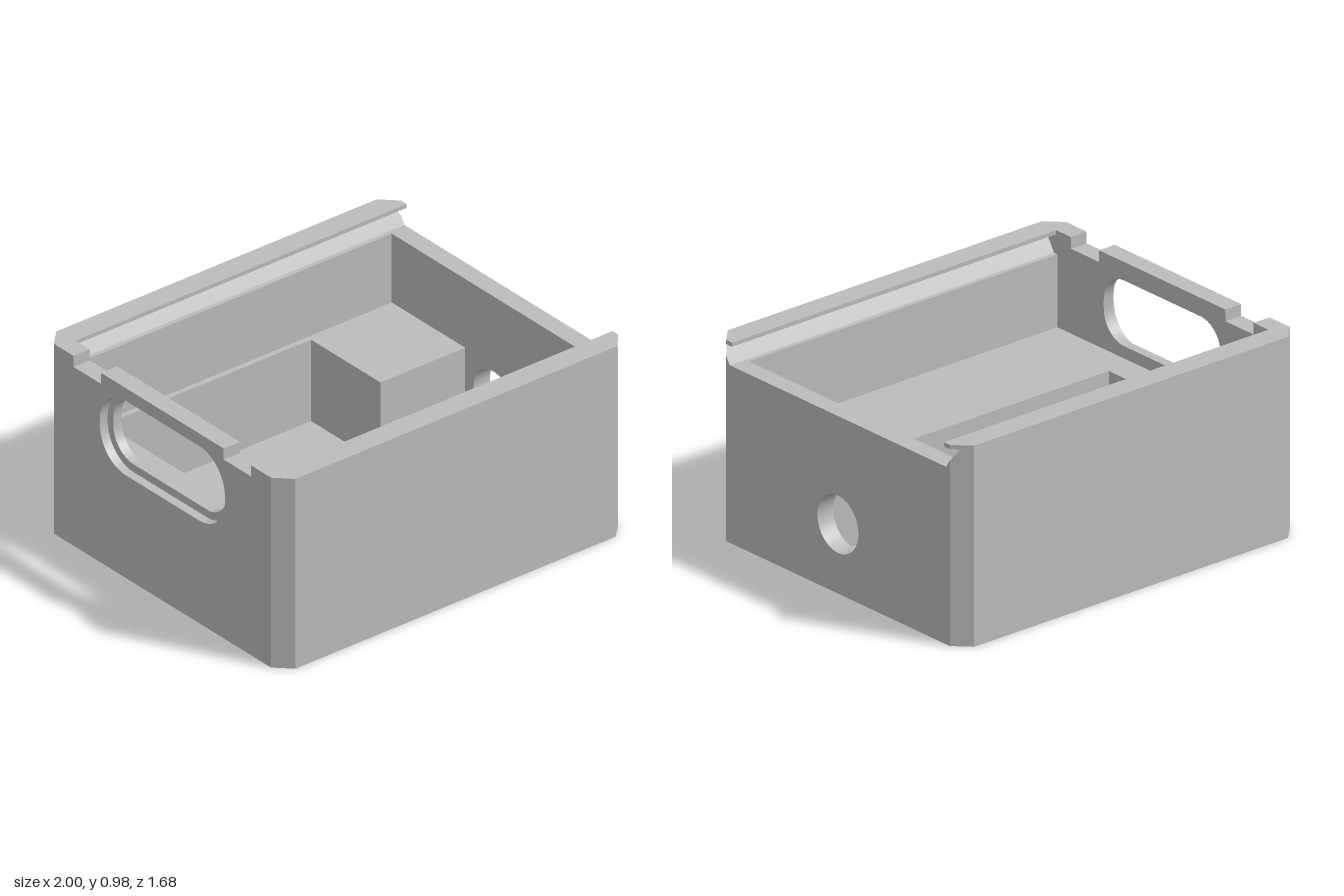
import * as THREE from 'three';
import { toCreasedNormals } from 'three/addons/utils/BufferGeometryUtils.js';

const W = 0.842, C = 0.765, H = 0.98;      // half depth, start of corner chamfer, height
const INX = 0.907, INZ = 0.717;            // inner faces of the walls
const LOW = 0.865, LEDGE = 0.51, FLOOR = 0.09;

const poly = (pts) => new THREE.Shape(pts.map(([a, b]) => new THREE.Vector2(a, b)));

// Rounded slot outline for the window
function slot(halfW, y0, y1, r) {
  const p = new THREE.Path();
  p.moveTo(-halfW + r, y0);
  p.lineTo(halfW - r, y0);
  p.absarc(halfW - r, y0 + r, r, -Math.PI / 2, 0, false);
  p.absarc(halfW - r, y1 - r, r, 0, Math.PI / 2, false);
  p.absarc(-halfW + r, y1 - r, r, Math.PI / 2, Math.PI, false);
  p.absarc(-halfW + r, y0 + r, r, Math.PI, Math.PI * 1.5, false);
  return p;
}

// Extrude a (z, y) cross-section from x0 to x1, cutting the ends to the corner chamfer
function alongX(shape, x0, x1) {
  const g = new THREE.ExtrudeGeometry(shape, { depth: x1 - x0, bevelEnabled: false, curveSegments: 20 });
  g.rotateY(Math.PI / 2).translate(x0, 0, 0);
  const p = g.attributes.position;
  for (let i = 0; i < p.count; i++) {
    const limit = 1 - Math.max(0, Math.abs(p.getZ(i)) - C);
    p.setX(i, THREE.MathUtils.clamp(p.getX(i), -limit, limit));
  }
  g.computeVertexNormals();
  return toCreasedNormals(g, 0.5);
}

export function createModel() {
  const model = new THREE.Group();
  model.name = 'slidingLidBox';
  const grey = new THREE.MeshStandardMaterial({ color: 0xbcbcbc });
  grey.name = 'grey';
  const add = (name, geo, parent = model) => {
    const m = new THREE.Mesh(geo, grey);
    m.name = name;
    parent.add(m);
  };

  // Front and back walls with the dovetail lid groove
  for (const s of [-1, 1]) {
    const wall = new THREE.Group();
    wall.name = s > 0 ? 'frontWall' : 'backWall';
    model.add(wall);
    const side = (pts) => poly(pts.map(([z, y]) => [-s * z, y]));
    add('innerLayer', alongX(side([[INZ, 0], [C, 0], [C, 0.905], [0.74, LOW], [INZ, LOW]]), -INX, 1), wall);
    add('grooveLip', alongX(side([[0.725, 0.96], [C, 0.96], [C, H], [0.725, H]]), -INX, 1), wall);
    add('outerLayer', alongX(side([[C, 0], [W, 0], [W, H], [C, H], [C, 0.96], [0.8, 0.96], [C, 0.905]]), -INX, 1), wall);
    add('cornerPost', alongX(side([[C, 0], [W, 0], [W, H], [C, H]]), -1, -INX), wall);
  }

  // Right wall: full height, two top notches and a stepped window
  const notched = () => poly([
    [-C, 0], [C, 0], [C, H], [0.625, H], [0.625, 0.923], [0.432, 0.923], [0.432, H],
    [-0.432, H], [-0.432, 0.923], [-0.625, 0.923], [-0.625, H], [-C, H],
  ]);
  const outer = notched(), inner = notched();
  outer.holes.push(slot(0.44, 0.53, 0.915, 0.18));
  inner.holes.push(slot(0.4, 0.57, 0.89, 0.14));
  add('rightWallOuter', alongX(outer, -1, -0.955));
  add('rightWallInner', alongX(inner, -0.955, -INX));

  // Left wall: lower so the lid slides over it, with a round cable hole
  const left = poly([[-INZ, 0], [INZ, 0], [INZ, LOW], [-INZ, LOW]]);
  left.holes.push(new THREE.Path().absarc(0, 0.338, 0.14, 0, Math.PI * 2, true));
  add('leftWall', alongX(left, INX, 1));

  // Floor
  const floor = new THREE.BoxGeometry(INX * 2, FLOOR, INZ * 2);
  floor.translate(0, FLOOR / 2, 0);
  add('floor', floor);

  // Raised inner ledge around the L-shaped pocket, outlined in (x, z)
  const ledge = poly([
    [-INX, -INZ], [INX, -INZ], [INX, -0.2], [0.42, -0.2], [0.42, -0.69], [-0.765, -0.69],
    [-0.765, 0.2], [INX, 0.2], [INX, INZ], [-INX, INZ],
  ].map(([x, z]) => [x, -z]));
  const ledgeGeo = new THREE.ExtrudeGeometry(ledge, { depth: LEDGE - FLOOR, bevelEnabled: false });
  ledgeGeo.rotateX(-Math.PI / 2).translate(0, FLOOR, 0);
  add('innerLedge', ledgeGeo);

  return model;
}
